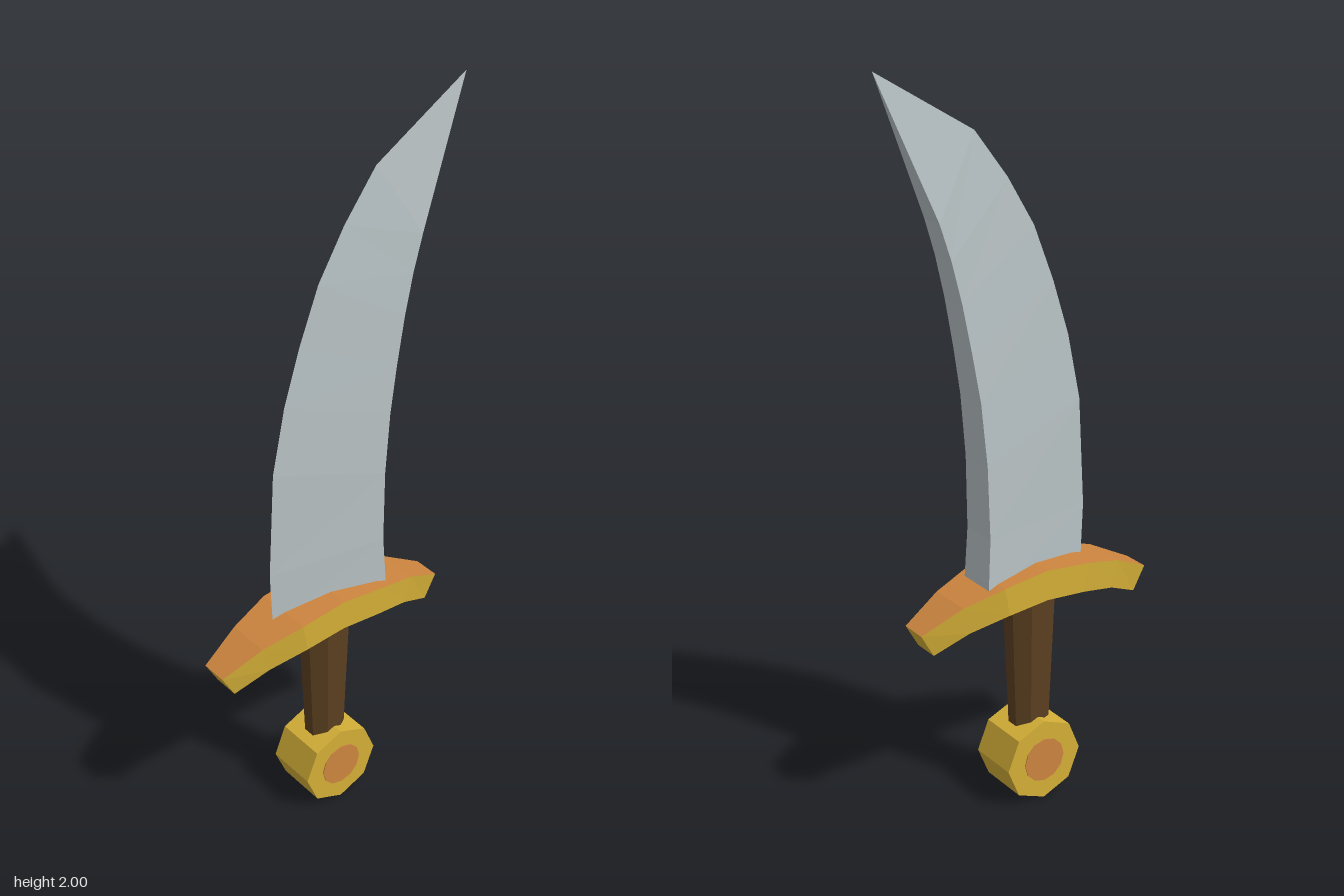
import * as THREE from 'three';

const material = (name, color) => {
  const m = new THREE.MeshStandardMaterial({ color });
  m.name = name;
  return m;
};

// Skin a row of equal-sized rings; each ring side gets the material index in sideMats.
function loft(rings, sideMats, capMat) {
  const pos = [];
  const geo = new THREE.BufferGeometry();
  const n = rings[0].length;
  const addGroup = (mat, build) => {
    const start = pos.length / 3;
    build();
    geo.addGroup(start, pos.length / 3 - start, mat);
  };
  const tri = (a, b, c) => pos.push(...a, ...b, ...c);
  for (let j = 0; j < n; j++) {
    const k = (j + 1) % n;
    addGroup(sideMats[j], () => {
      for (let i = 0; i < rings.length - 1; i++) {
        const a = rings[i], b = rings[i + 1];
        tri(a[j], a[k], b[k]);
        tri(a[j], b[k], b[j]);
      }
    });
  }
  addGroup(capMat, () => {
    const first = rings[0], last = rings[rings.length - 1];
    for (let j = 1; j < n - 1; j++) {
      tri(first[0], first[j + 1], first[j]);
      tri(last[0], last[j], last[j + 1]);
    }
  });
  geo.setAttribute('position', new THREE.Float32BufferAttribute(pos, 3));
  geo.computeVertexNormals();
  return geo;
}

export function createModel() {
  const steel = material('steel', 0xb8c2c4);
  const gold = material('gold', 0xd4af37);
  const copper = material('copper', 0xcd853f);
  const wood = material('darkWood', 0x5c4020);
  [steel, gold, copper, wood].forEach((m) => { m.flatShading = true; });

  const group = new THREE.Group();
  const add = (name, geo, mat) => {
    const mesh = new THREE.Mesh(geo, mat);
    mesh.name = name;
    group.add(mesh);
    return mesh;
  };
  const axisX = -0.04;

  // Blade: wedge section, sharp edge on -x, flat spine on +x
  // [edge x, edge y, spine x, spine y, half thickness]
  const blade = [
    [-0.208, 0.63, 0.127, 0.63, 0.056],
    [-0.215, 0.8, 0.117, 0.8, 0.052],
    [-0.198, 1.1, 0.122, 1.0, 0.049],
    [-0.16, 1.28, 0.138, 1.17, 0.046],
    [-0.112, 1.43, 0.16, 1.3, 0.042],
    [-0.053, 1.58, 0.185, 1.43, 0.039],
    [0.025, 1.71, 0.212, 1.54, 0.036],
    [0.12, 1.835, 0.242, 1.635, 0.033],
    [0.393, 2, 0.393, 2, 0],
  ].map(([ex, ey, sx, sy, t]) => [[ex, ey, 0], [sx, sy, t], [sx, sy, -t]]);
  add('blade', loft(blade, [0, 0, 0], 0), [steel]);

  // Guard: drooping bar, copper above and below, gold around the rim
  // [offset of top, top y, offset of bottom, bottom y, half depth]
  const half = [
    [0, 0.685, 0, 0.6, 0.084],
    [0.134, 0.67, 0.12, 0.59, 0.084],
    [0.248, 0.638, 0.228, 0.562, 0.061],
    [0.359, 0.582, 0.323, 0.517, 0.037],
  ];
  const stations = [
    ...half.slice(1).reverse().map(([tx, ty, bx, by, d]) => [-tx, ty, -bx, by, d]),
    ...half,
  ];
  const guard = stations.map(([tx, ty, bx, by, d]) => [
    [axisX + tx, ty, -d], [axisX + tx, ty, d], [axisX + bx, by, d], [axisX + bx, by, -d],
  ]);
  add('guard', loft(guard, [0, 1, 0, 1], 1), [copper, gold]);

  // Grip: tapered octagonal handle, slightly flattened
  const grip = new THREE.CylinderGeometry(0.076, 0.058, 0.42, 8);
  grip.rotateY(Math.PI / 8);
  grip.scale(1, 1, 0.78);
  add('grip', grip, wood).position.set(axisX, 0.41, 0);

  // Pommel: octagonal drum facing front, with an inlay disc on both faces
  const drum = new THREE.CylinderGeometry(0.117, 0.117, 0.144, 8);
  drum.rotateX(Math.PI / 2);
  add('pommel', drum, gold).position.set(axisX, 0.117, 0);
  for (const side of [1, -1]) {
    const disc = new THREE.CylinderGeometry(0.063, 0.063, 0.004, 12);
    disc.rotateX(Math.PI / 2);
    add(side > 0 ? 'frontInlay' : 'backInlay', disc, copper)
      .position.set(axisX, 0.117, side * 0.0725);
  }
  return group;
}
